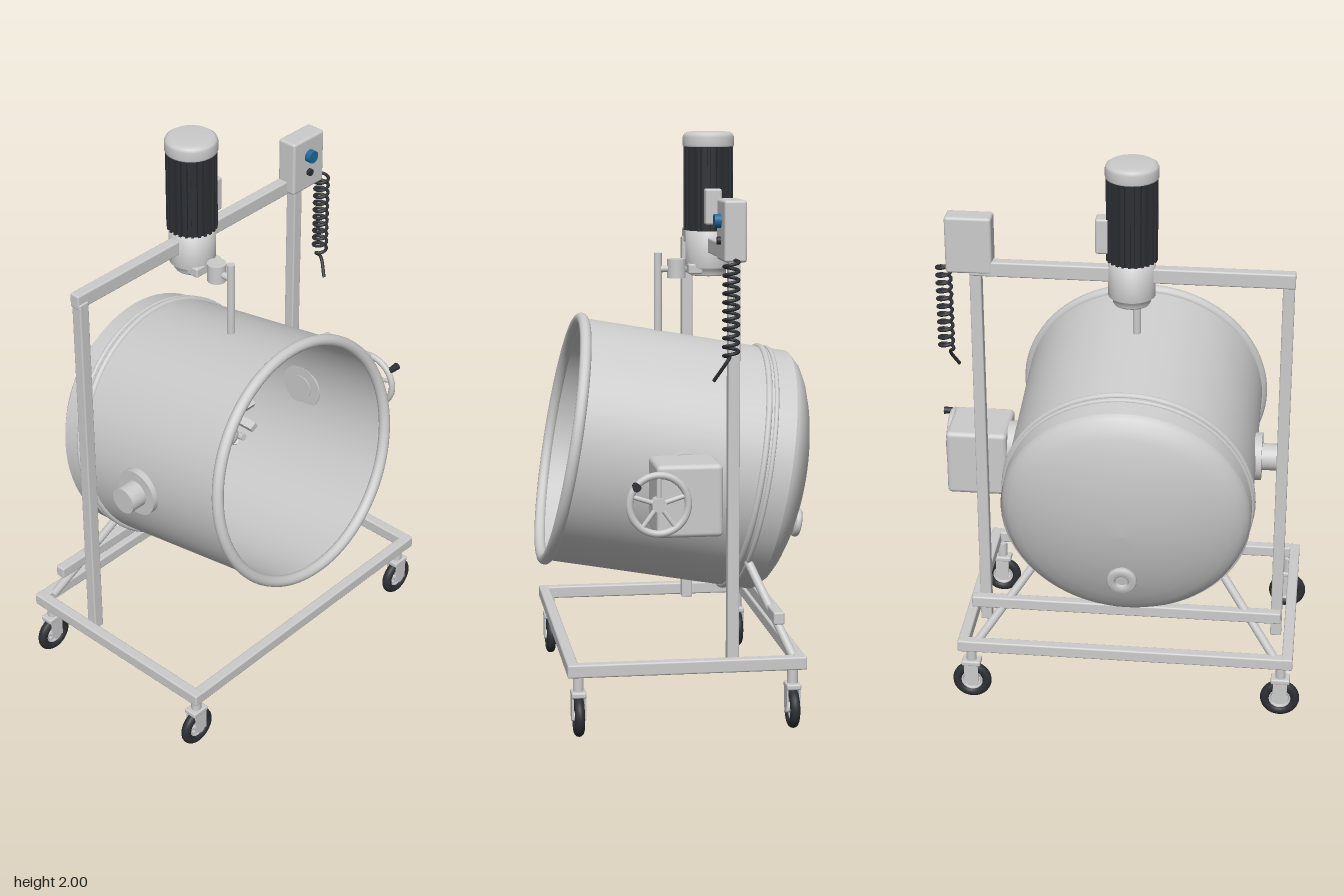
import * as THREE from 'three';
import { RoundedBoxGeometry } from 'three/addons/geometries/RoundedBoxGeometry.js';

const mat = (color) => new THREE.MeshStandardMaterial({ color });
const grey = mat(0xcccccc);
const dark = mat(0x2c2f34);
const blue = mat(0x1f6a9c);
const sheet = new THREE.MeshStandardMaterial({ color: 0xcccccc, side: THREE.DoubleSide });
const V = (x, y, z) => new THREE.Vector3(x, y, z);
const CX = -0.053; // middle plane of drum and frame

export function createModel() {
  const model = new THREE.Group();

  const add = (name, geo, pos = [0, 0, 0], material = grey, parent = model) => {
    const m = new THREE.Mesh(geo, material);
    m.name = name;
    m.position.set(...pos);
    parent.add(m);
    return m;
  };
  // box given by its extents on each axis
  const box = (name, x0, x1, y0, y1, z0, z1, r = 0, material = grey) => add(name,
    r ? new RoundedBoxGeometry(x1 - x0, y1 - y0, z1 - z0, 3, r) : new THREE.BoxGeometry(x1 - x0, y1 - y0, z1 - z0),
    [(x0 + x1) / 2, (y0 + y1) / 2, (z0 + z1) / 2], material);
  // round bar between two points
  const bar = (name, a, b, r, material = grey, parent = model, r2 = r) => {
    const m = add(name, new THREE.CylinderGeometry(r2, r, a.distanceTo(b), 32),
      a.clone().add(b).multiplyScalar(0.5).toArray(), material, parent);
    m.quaternion.setFromUnitVectors(V(0, 1, 0), b.clone().sub(a).normalize());
    return m;
  };
  const lathe = (name, pts, parent, material = sheet) =>
    add(name, new THREE.LatheGeometry(pts.map(p => new THREE.Vector2(...p)), 72), [0, 0, 0], material, parent);

  // base frame
  for (const x of [-0.63, 0.527]) box('baseSideRail', x - 0.019, x + 0.019, 0.21, 0.255, -0.385, 0.425, 0.006);
  for (const z of [-0.366, 0.406]) box('baseCrossRail', -0.649, 0.546, 0.211, 0.254, z - 0.019, z + 0.019, 0.006);
  box('rearCrossBar', -0.6, 0.5, 0.357, 0.4, -0.315, -0.278, 0.006);

  // upright portal
  for (const x of [-0.581, 0.477]) box('post', x - 0.02, x + 0.02, 0.21, 1.6, -0.16, -0.12, 0.005);
  box('topBeam', -0.603, 0.497, 1.58, 1.633, -0.165, -0.125, 0.006);
  for (const s of [-1, 1])
    bar('brace', V(CX + s * 0.53, 0.24, -0.35), V(CX + s * 0.31, 0.54, -0.225), 0.015);

  // casters
  for (const x of [-0.608, 0.503]) for (const z of [-0.343, 0.386]) {
    const caster = new THREE.Group();
    caster.name = 'caster';
    caster.position.set(x, 0, z);
    model.add(caster);
    const tyre = new THREE.TorusGeometry(0.053, 0.017, 14, 40);
    add('tyre', tyre, [0, 0.07, 0], dark, caster);
    add('wheelRim', new THREE.TorusGeometry(0.038, 0.009, 10, 32), [0, 0.07, 0], grey, caster);
    bar('wheelHub', V(0, 0.07, -0.024), V(0, 0.07, 0.024), 0.017, grey, caster);
    for (let i = 0; i < 3; i++) {
      const spoke = add('wheelSpoke', new THREE.BoxGeometry(0.08, 0.01, 0.01), [0, 0.07, 0], grey, caster);
      spoke.rotation.z = i * Math.PI / 3;
    }
    for (const s of [-1, 1])
      add('forkPlate', new THREE.BoxGeometry(0.05, 0.085, 0.006), [0, 0.106, s * 0.021], grey, caster);
    add('forkCrown', new RoundedBoxGeometry(0.068, 0.02, 0.05, 2, 0.006), [0, 0.147, 0], grey, caster);
    bar('casterStem', V(0, 0.15, 0), V(0, 0.212, 0), 0.018, grey, caster);
  }

  // tilted drum, local +y points out of the mouth
  const drum = new THREE.Group();
  drum.name = 'drum';
  drum.position.set(CX, 0.923, 0.384);
  drum.rotation.x = THREE.MathUtils.degToRad(80);
  model.add(drum);
  lathe('drumWall', [[0.433, -0.745], [0.433, 0]], drum);
  lathe('drumLining', [[0.42, 0], [0.42, -0.75]], drum);
  lathe('drumHead', [[0, -0.87], [0.08, -0.867], [0.16, -0.858], [0.24, -0.842], [0.31, -0.822], [0.365, -0.8],
    [0.4, -0.78], [0.422, -0.757], [0.431, -0.73], [0.433, -0.7]], drum);
  lathe('drumFloor', [[0.42, -0.75], [0.34, -0.75]], drum);
  lathe('floorCone', [[0.34, -0.75], [0.03, -0.37]], drum);
  add('coneNose', new THREE.SphereGeometry(0.042, 32, 20), [0, -0.37, 0], grey, drum);
  const ring = (name, y, R, r) => {
    add(name, new THREE.TorusGeometry(R, r, 14, 80), [0, y, 0], grey, drum).rotation.x = Math.PI / 2;
  };
  ring('mouthRim', 0, 0.431, 0.02);
  ring('drumBand', -0.645, 0.433, 0.011);
  ring('drumBand', -0.672, 0.433, 0.008);
  for (const s of [-1, 1]) bar('floorPin', V(s * 0.26, -0.75, 0.2), V(s * 0.26, -0.56, 0.2), 0.013, grey, drum);

  // drain on the drum head
  const drain = lathe('drain', [[0.022, -0.82], [0.022, -0.898], [0.028, -0.903], [0.047, -0.903], [0.052, -0.897],
    [0.052, -0.885], [0.047, -0.88], [0.032, -0.878], [0.03, -0.82]], drum);
  drain.position.z = 0.175;
  bar('drainPlug', V(0, -0.83, 0.175), V(0, -0.89, 0.175), 0.022, grey, drum);

  // trunnions
  const ty = 0.85, tz = 0.013;
  bar('leftFlange', V(-0.505, ty, tz), V(-0.465, ty, tz), 0.085);
  bar('leftTrunnion', V(-0.568, ty, tz), V(-0.5, ty, tz), 0.048);
  bar('rightFlange', V(0.36, ty, tz), V(0.402, ty, tz), 0.085);
  for (const s of [-1, 1]) bar('trunnionEnd', V(CX + s * 0.41, ty, tz), V(CX + s * 0.425, ty, tz), 0.045);

  // tilting gearbox and handwheel
  box('gearbox', 0.4, 0.617, 0.69, 0.932, -0.085, 0.135, 0.016);
  const wheel = new THREE.Group();
  wheel.name = 'handwheel';
  wheel.position.set(0.627, 0.806, 0.13);
  wheel.rotation.y = Math.PI / 2;
  model.add(wheel);
  add('handwheelRim', new THREE.TorusGeometry(0.097, 0.012, 12, 48), [0, 0, 0], grey, wheel);
  bar('handwheelHub', V(0, 0, -0.03), V(0, 0, 0.014), 0.024, grey, wheel);
  for (let i = 0; i < 5; i++) {
    const a = Math.PI / 2 + i * Math.PI * 0.4;
    bar('handwheelSpoke', V(0, 0, 0), V(Math.cos(a) * 0.095, Math.sin(a) * 0.095, 0), 0.008, grey, wheel);
  }
  bar('crankHandle', V(-0.078, 0.066, 0), V(-0.078, 0.066, 0.048), 0.01, dark, wheel, 0.014);

  // motor
  const motor = new THREE.Group();
  motor.name = 'motor';
  motor.position.set(CX, 0, -0.138);
  model.add(motor);
  lathe('motorCap', [[0.088, 1.948], [0.09, 1.953], [0.09, 1.982], [0.086, 1.992], [0.074, 2], [0, 2]], motor);
  bar('motorBody', V(0, 1.65, 0), V(0, 1.952, 0), 0.076, dark, motor);
  for (let i = 0; i < 24; i++) {
    const a = i * Math.PI / 12;
    add('coolingFin', new THREE.BoxGeometry(0.018, 0.29, 0.009),
      [Math.cos(a) * 0.078, 1.802, Math.sin(a) * 0.078], dark, motor).rotation.y = -a;
  }
  lathe('gearHead', [[0, 1.497], [0.06, 1.497], [0.064, 1.503], [0.064, 1.52], [0.08, 1.528], [0.08, 1.655], [0, 1.655]], motor);
  box('terminalBox', 0.02, 0.068, 1.68, 1.805, -0.168, -0.11, 0.008);

  // stirrer
  bar('shaftClamp', V(CX, 1.488, -0.025), V(CX, 1.555, -0.025), 0.033);
  box('clampArm', CX - 0.06, CX + 0.06, 1.505, 1.54, -0.11, -0.06, 0.006);
  bar('clampLink', V(CX, 1.52, -0.08), V(CX, 1.52, 0.04), 0.012);
  bar('stirrerShaft', V(CX, 0.935, 0.041), V(CX, 1.577, 0.041), 0.014);
  bar('stirrerHub', V(CX, 0.932, 0.041), V(CX, 0.98, 0.041), 0.04);
  for (let i = 0; i < 4; i++) {
    const a = i * Math.PI / 2;
    const blade = add('stirrerBlade', new THREE.BoxGeometry(0.08, 0.022, 0.03),
      [CX + Math.cos(a) * 0.07, 0.953, 0.041 + Math.sin(a) * 0.07]);
    blade.rotation.set(0.5, -a, 0, 'YXZ');
  }

  // control box
  box('controlBox', 0.418, 0.577, 1.588, 1.79, -0.167, -0.092, 0.01);
  bar('blueButton', V(0.497, 1.72, -0.1), V(0.497, 1.72, -0.07), 0.023, blue);
  bar('darkButton', V(0.497, 1.655, -0.1), V(0.497, 1.655, -0.08), 0.013, dark);

  // coiled cable
  const coil = [];
  const turns = 11, steps = 14;
  coil.push(V(0.56, 1.61, -0.125));
  for (let i = 0; i <= turns * steps; i++) {
    const a = Math.PI + i / steps * Math.PI * 2;
    coil.push(V(0.593 + Math.cos(a) * 0.024, 1.6 - 0.32 * i / (turns * steps), -0.112 + Math.sin(a) * 0.024));
  }
  coil.push(V(0.583, 1.265, -0.1), V(0.56, 1.2, -0.06));
  add('coiledCable', new THREE.TubeGeometry(new THREE.CatmullRomCurve3(coil), 480, 0.006, 8), [0, 0, 0], dark);

  return model;
}
